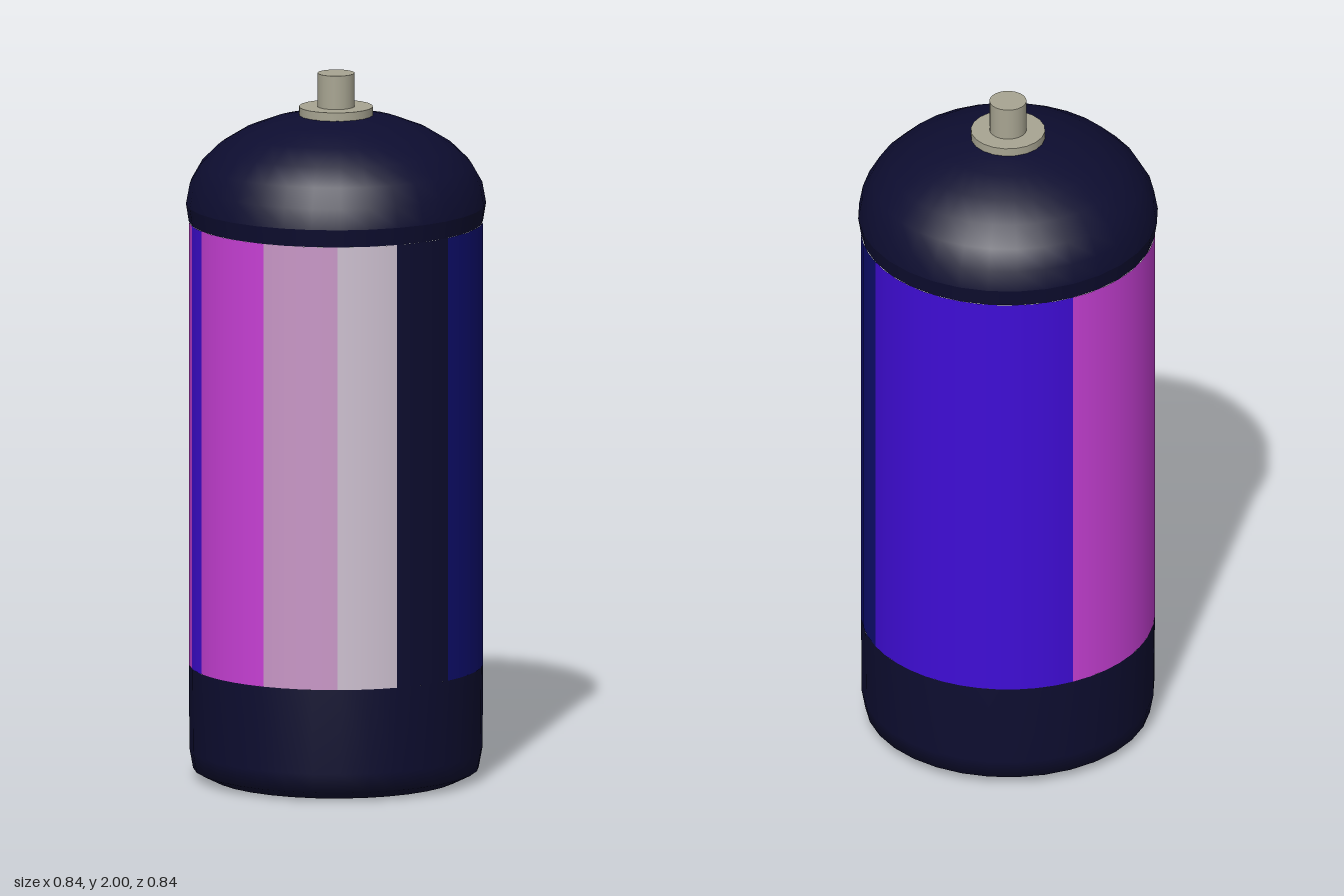
import * as THREE from 'three';

const mat = (name, hex) => {
  const m = new THREE.MeshStandardMaterial({ color: hex });
  m.name = name;
  return m;
};

export function createModel() {
  const group = new THREE.Group();
  const navy = mat('navy', 0x0d0d30);
  const blue = mat('blue', 0x0e0e70);
  const violet = mat('violet', 0x3f0cd6);
  const magenta = mat('magenta', 0xc840d6);
  const pink = mat('pale pink', 0xc896c6);
  const pale = mat('pale lilac', 0xcdc0d0);
  const metal = mat('metal', 0xa8a592);

  const add = (name, geometry, material, y = 0) => {
    const mesh = new THREE.Mesh(geometry, material);
    mesh.name = name;
    mesh.position.y = y;
    group.add(mesh);
  };
  const lathe = (pts, segments = 32) =>
    new THREE.LatheGeometry(pts.map(([r, y]) => new THREE.Vector2(r, y)), segments);

  const R = 0.412, LOW = 0.32, HIGH = 1.58;

  // Base with a small rounded foot, and its flat underside
  add('base', lathe([[0.35, 0], [0.4, 0.025], [0.41, 0.08], [R, LOW]]), navy);
  add('underside', new THREE.CircleGeometry(0.35, 32).rotateX(Math.PI / 2).rotateY(Math.PI / 2), navy);

  // Wrapped label: [name, material, start, end], degrees from the front towards +x
  const bands = [
    ['magentaFrontBand', magenta, -23, 13.7],
    ['pinkBand', pink, 13.7, 43.7],
    ['paleBand', pale, 43.7, 67.5],
    ['navyBand', navy, 67.5, 92.5],
    ['blueBand', blue, 92.5, 157],
    ['violetBackBand', violet, 157, 247.5],
    ['magentaSideBand', magenta, 247.5, 325],
    ['violetStripe', violet, 325, 337],
  ];
  for (const [name, material, a, b] of bands) {
    const geometry = new THREE.CylinderGeometry(
      R, R, HIGH - LOW, Math.ceil((b - a) / 8), 1, true,
      THREE.MathUtils.degToRad(a), THREE.MathUtils.degToRad(b - a));
    add(name, geometry, material, (HIGH + LOW) / 2);
  }

  // Domed shoulder, slightly wider than the body at its rim
  const dome = [];
  for (let i = 0; i <= 7; i++) {
    const t = (i / 7) * Math.PI / 2;
    dome.push([i === 7 ? 0 : 0.42 * Math.cos(t), 1.63 + 0.26 * Math.sin(t)]);
  }
  add('shoulderLip', lathe([[R, HIGH], [0.42, 1.63]]), navy);
  add('dome', lathe(dome), navy);

  // Valve collar and stem
  add('valveCollar', new THREE.CylinderGeometry(0.104, 0.104, 0.035, 20), metal, 1.8875);
  add('valveStem', new THREE.CylinderGeometry(0.052, 0.052, 0.1, 20), metal, 1.95);

  return group;
}
